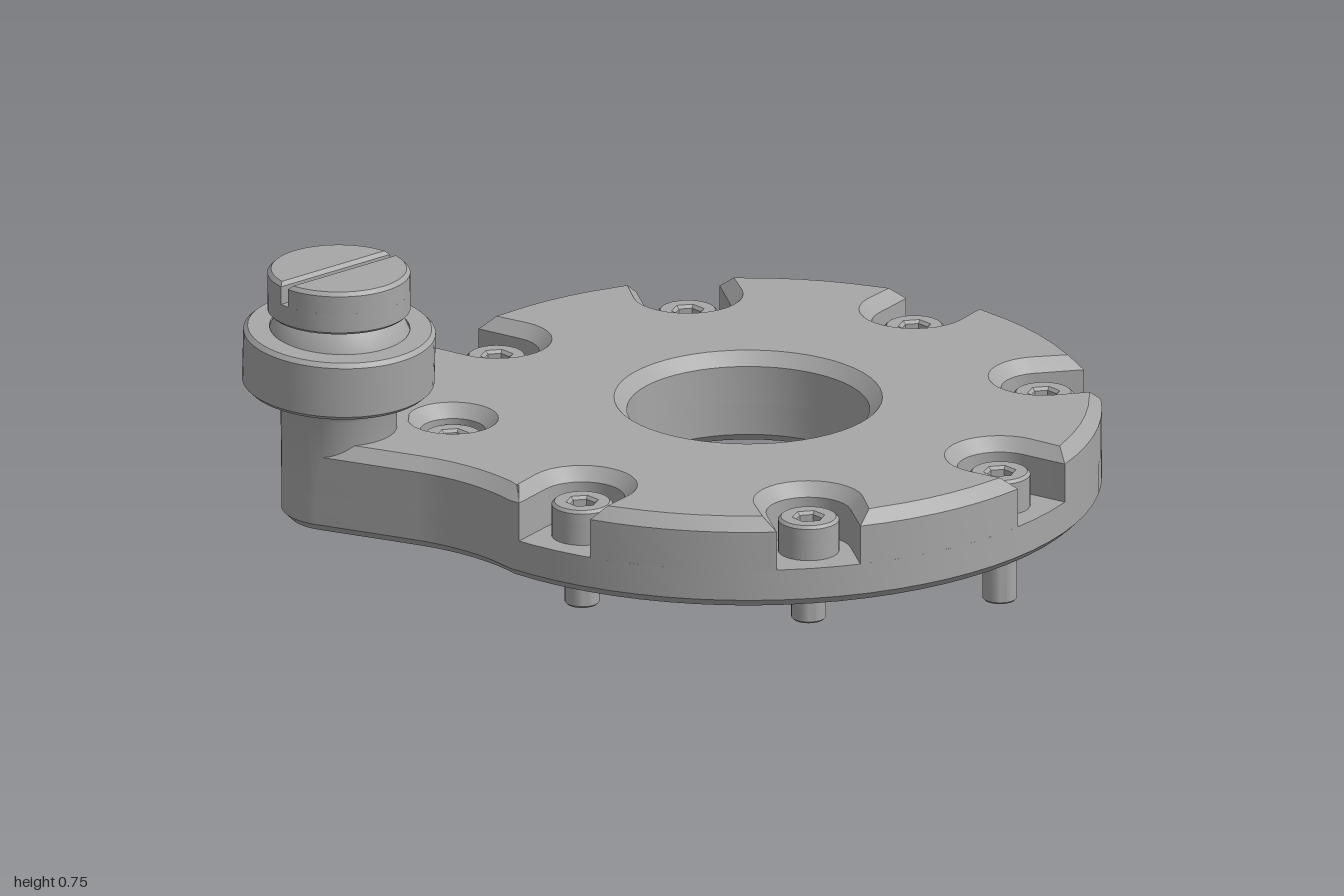
import * as THREE from 'three';
import { toCreasedNormals } from 'three/addons/utils/BufferGeometryUtils.js';

const RIM = 0.83, BOLT_RING = 0.707, LUG_DIST = 0.98, LUG_R = 0.135;
const STEP = Math.PI / 4;
const V = (x, y) => new THREE.Vector2(x, y);
const polar = (r, a, cx = 0, cy = 0) => V(cx + r * Math.cos(a), cy + r * Math.sin(a));

// Points along an arc, ends included
function arc(r, a0, a1, n, cx = 0, cy = 0) {
  return Array.from({ length: n + 1 }, (_, i) => polar(r, a0 + (a1 - a0) * i / n, cx, cy));
}
const circle = (r, n, cx = 0, cy = 0) => arc(r, 0, Math.PI * 2, n, cx, cy).slice(0, n);

// Flat slab from y0 to y1 with a chamfer on one end only
function slab(points, holes, y0, y1, bevel, chamferTop = true) {
  const shape = new THREE.Shape(points);
  holes.forEach(h => shape.holes.push(new THREE.Path(h)));
  const depth = y1 - y0 - bevel;
  const g = new THREE.ExtrudeGeometry(shape, {
    depth, bevelEnabled: true, bevelThickness: bevel, bevelSize: bevel, bevelOffset: -bevel, bevelSegments: 1,
  });
  const p = g.attributes.position;
  for (let i = 0; i < p.count; i++) {
    const z = p.getZ(i);
    p.setZ(i, chamferTop ? Math.max(z, 0) : Math.min(z, depth));
  }
  g.rotateX(-Math.PI / 2);
  g.translate(0, chamferTop ? y0 : y0 + bevel, 0);
  return toCreasedNormals(g, 0.5);
}

function lathe(pairs, segments = 56) {
  return toCreasedNormals(new THREE.LatheGeometry(pairs.map(([x, y]) => V(x, y)), segments), 0.5);
}

// Disc outline with a lug along +x, optionally notched around the bolts
function plateOutline(notched) {
  const a0 = THREE.MathUtils.degToRad(36);
  const flank = new THREE.QuadraticBezierCurve(polar(RIM, a0), V(0.73, 0.345), V(0.85, 0.258)).getPoints(8);
  const mirrored = flank.map(p => V(p.x, -p.y)).reverse();
  const nose = arc(LUG_R, -0.94, 0.94, 16, LUG_DIST, 0);
  const pts = [...nose, ...flank.reverse()];
  if (!notched) {
    pts.push(...arc(RIM, a0, Math.PI * 2 - a0, 60).slice(1, -1));
  } else {
    const w = 0.1, half = Math.asin(w / RIM);
    for (let k = 1; k <= 7; k++) {
      const a = k * STEP;
      if (k > 1) pts.push(...arc(RIM, a - STEP + half, a - half, 7).slice(1, -1));
      const c = polar(BOLT_RING, a);
      pts.push(polar(RIM, a - half));
      pts.push(...arc(w, a - Math.PI / 2, a - Math.PI * 1.5, 16, c.x, c.y));
      pts.push(polar(RIM, a + half));
    }
  }
  pts.push(...mirrored);
  return pts;
}

export function createModel() {
  const model = new THREE.Group();
  model.name = 'flangePlate';
  const metal = new THREE.MeshStandardMaterial({ color: 0xa6a6a6 });
  metal.name = 'grey metal';
  const add = (parent, name, geometry) => {
    const m = new THREE.Mesh(geometry, metal);
    m.name = name;
    parent.add(m);
    return m;
  };

  // Everything on the plate is laid out with the lug along local +x
  const body = new THREE.Group();
  body.name = 'plateAssembly';
  body.position.x = 0.167;
  body.rotation.y = THREE.MathUtils.degToRad(164.3);
  model.add(body);

  // Plate: lower layer with blind holes, upper layer with bolt pockets
  const bore = () => circle(0.285, 56);
  const small = [-1, 1].map(s => polar(0.72, s * STEP / 2)).map(c => circle(0.025, 20, c.x, c.y));
  add(body, 'plateLower', slab(plateOutline(false),
    [bore(), ...small, circle(0.05, 24, LUG_DIST, 0)], 0.14, 0.235, 0.02, false));
  add(body, 'plateUpper', slab(plateOutline(true),
    [bore(), circle(0.077, 32, BOLT_RING, 0)], 0.235, 0.36, 0.03));

  // Socket-head bolts, one with a longer shank
  const headBase = new THREE.CylinderGeometry(0.072, 0.072, 0.04, 32);
  const headTop = slab(circle(0.072, 32), [circle(0.031, 6)], 0.275, 0.32, 0.007);
  for (let k = 0; k < 8; k++) {
    const bolt = new THREE.Group();
    bolt.name = 'bolt' + (k + 1);
    const c = polar(BOLT_RING, k * STEP);
    bolt.position.set(c.x, 0, -c.y);
    add(bolt, 'boltHeadBase', headBase).position.y = 0.255;
    add(bolt, 'boltHead', headTop);
    const tip = k === 3 ? 0 : 0.065;
    add(bolt, 'boltShank', lathe([[0, tip], [0.036, tip], [0.041, tip + 0.005], [0.041, 0.24]], 28));
    body.add(bolt);
  }

  // Roller on the lug, turned back to the model's axes
  const roller = new THREE.Group();
  roller.name = 'roller';
  roller.position.x = LUG_DIST;
  roller.rotation.y = -body.rotation.y;
  body.add(roller);

  // Post with a ball-shaped seat
  const ball = 0.178, midY = 0.538;
  const seat = Array.from({ length: 13 }, (_, i) => {
    const y = -0.108 + 0.225 * i / 12;
    return [Math.sqrt(ball * ball - y * y), midY + y];
  });
  add(roller, 'post', lathe([[LUG_R, 0.24], [LUG_R + 0.002, 0.42], ...seat, [0, 0.655]]));

  // Slightly tilted outer ring
  const ring = add(roller, 'rollerRing', lathe([
    [0.165, -0.072], [0.216, -0.072], [0.226, -0.062], [0.226, 0.062],
    [0.216, 0.072], [0.165, 0.072], [0.165, -0.072],
  ]));
  ring.position.y = midY;
  ring.rotation.x = 0.055;

  // Slotted cap
  const cap = new THREE.Group();
  cap.name = 'slottedCap';
  cap.rotation.y = 0.23;
  roller.add(cap);
  add(cap, 'capBase', slab(circle(0.168, 56), [], 0.65, 0.702, 0.006, false));
  const a = Math.asin(0.012 / 0.168);
  const segment = slab(arc(0.168, a, Math.PI - a, 28), [], 0.702, 0.755, 0.009);
  [0, Math.PI].forEach(r => { add(cap, 'capHalf', segment).rotation.y = r; });

  return model;
}
